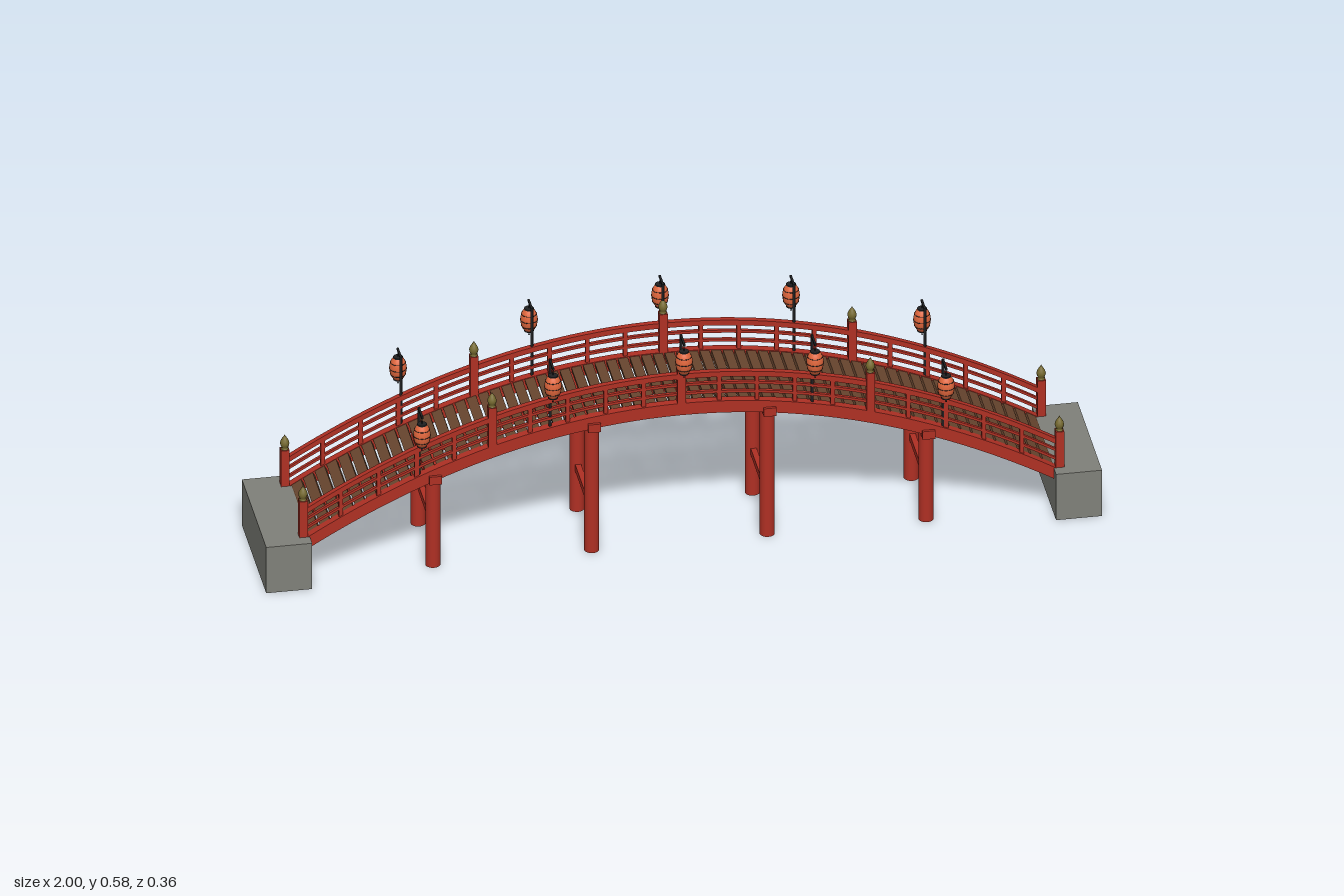
import * as THREE from 'three';

const mat = (color) => new THREE.MeshStandardMaterial({ color });
const red = mat(0xb03024), wood = mat(0x69462f), stone = mat(0x80817a);
const dark = mat(0x1f2022), paper = mat(0xe0663c), bronze = mat(0x75692f);

// Height of the walking surface along the bridge
const deckY = (x) => 0.394 - 0.338 * x * x;
const slope = (x) => Math.atan(-0.676 * x);

export function createModel() {
  const model = new THREE.Group();

  const add = (name, geometry, material, x = 0, y = 0, z = 0, parent = model) => {
    const mesh = new THREE.Mesh(geometry, material);
    mesh.name = name;
    mesh.position.set(x, y, z);
    parent.add(mesh);
    return mesh;
  };

  // Curved bar following the arch, between two heights relative to the deck
  const archBar = (name, low, high, width, z, half) => {
    const shape = new THREE.Shape();
    const n = 48;
    for (let i = 0; i <= n; i++) {
      const x = -half + (2 * half * i) / n;
      if (i === 0) shape.moveTo(x, deckY(x) + low);
      else shape.lineTo(x, deckY(x) + low);
    }
    for (let i = n; i >= 0; i--) {
      const x = -half + (2 * half * i) / n;
      shape.lineTo(x, deckY(x) + high);
    }
    shape.closePath();
    const geo = new THREE.ExtrudeGeometry(shape, { depth: width, bevelEnabled: false });
    geo.translate(0, 0, -width / 2);
    add(name, geo, red, 0, 0, z);
  };

  // Stone abutments
  for (const s of [-1, 1]) add('abutment', new THREE.BoxGeometry(0.11, 0.125, 0.32), stone, s * 0.945, 0.0625, 0);

  // Deck planks, tilted along the arch
  const planks = 64, pitch = 1.78 / planks;
  for (let i = 0; i < planks; i++) {
    const x = -0.89 + pitch * (i + 0.5);
    const length = (pitch - 0.005) / Math.cos(slope(x));
    const plank = add('plank', new THREE.BoxGeometry(length, 0.012, 0.222), wood, x, deckY(x) - 0.006, 0);
    plank.rotation.z = slope(x);
  }

  // Arched beams under the deck and along its sides
  archBar('centreBeam', -0.036, -0.011, 0.02, 0, 0.9);
  for (const s of [-1, 1]) {
    archBar('sideBeam', -0.03, 0.002, 0.02, s * 0.12, 0.9);
    archBar('handrail', 0.066, 0.08, 0.014, s * 0.12, 0.905);
    archBar('middleRail', 0.044, 0.051, 0.008, s * 0.12, 0.905);
    archBar('lowerRail', 0.02, 0.027, 0.008, s * 0.12, 0.905);
  }

  // Piers with cap beams and braces
  for (const x of [-0.59, -0.21, 0.21, 0.59]) {
    const top = deckY(x) - 0.025;
    for (const s of [-1, 1]) add('pier', new THREE.CylinderGeometry(0.018, 0.018, top, 16), red, x, top / 2, s * 0.097);
    add('pierCap', new THREE.BoxGeometry(0.03, 0.022, 0.274), red, x, deckY(x) - 0.026, 0);
    add('pierBrace', new THREE.BoxGeometry(0.014, 0.018, 0.194), red, x, 0.12, 0);
  }

  // Onion-shaped post finial
  const finialGeo = new THREE.LatheGeometry([
    [0, 0], [0.009, 0], [0.009, 0.003], [0.006, 0.005], [0.0095, 0.01], [0.0112, 0.017],
    [0.0095, 0.024], [0.0055, 0.031], [0.002, 0.036], [0, 0.041],
  ].map(([r, y]) => new THREE.Vector2(r, y)), 14);

  // Railing posts: every fifth is a tall newel
  for (const s of [-1, 1]) {
    for (let i = -10; i <= 10; i++) {
      const x = i * 0.0905, y = deckY(x), z = s * 0.12;
      if (i % 5 === 0) {
        add('newelPost', new THREE.BoxGeometry(0.02, 0.131, 0.02), red, x, y + 0.0395, z);
        add('finial', finialGeo, bronze, x, y + 0.104, z);
      } else {
        add('baluster', new THREE.BoxGeometry(0.01, 0.08, 0.01), red, x, y + 0.03, z);
      }
    }
  }

  // Lantern body: barrel profile, shared by all lamps
  const radiusAt = (y) => 0.0205 * Math.sqrt(1 - (y / 0.0335) ** 2);
  const profile = [];
  for (let i = 0; i <= 10; i++) {
    const y = -0.028 + 0.0056 * i;
    profile.push(new THREE.Vector2(radiusAt(y), y));
  }
  const bodyGeo = new THREE.LatheGeometry(profile, 18);
  const capGeo = new THREE.CylinderGeometry(0.0115, 0.0115, 0.004, 16);

  // Lamp poles with hanging lanterns
  for (const s of [-1, 1]) {
    for (let i = -2; i <= 2; i++) {
      const x = i * 0.3135;
      const lamp = new THREE.Group();
      lamp.name = 'lamp';
      lamp.position.set(x, deckY(x), s * 0.12);
      model.add(lamp);
      add('lampPole', new THREE.CylinderGeometry(0.0035, 0.0035, 0.184, 8), dark, 0, 0.092, 0, lamp);
      add('lampArm', new THREE.BoxGeometry(0.005, 0.005, 0.046), dark, 0, 0.1805, s * 0.02, lamp);

      const lantern = new THREE.Group();
      lantern.name = 'lantern';
      lantern.position.set(0, 0.131, s * 0.038);
      lamp.add(lantern);
      add('lanternBody', bodyGeo, paper, 0, 0, 0, lantern);
      add('topCap', capGeo, dark, 0, 0.029, 0, lantern);
      add('bottomCap', capGeo, dark, 0, -0.029, 0, lantern);
      add('hangingWire', new THREE.CylinderGeometry(0.001, 0.001, 0.02, 6), dark, 0, 0.04, 0, lantern);
      add('tasselCord', new THREE.CylinderGeometry(0.0008, 0.0008, 0.008, 6), dark, 0, -0.034, 0, lantern);
      add('tassel', new THREE.CylinderGeometry(0.001, 0.002, 0.005, 8), dark, 0, -0.039, 0, lantern);
      for (const y of [-0.016, 0, 0.016]) {
        const rib = add('lanternRib', new THREE.TorusGeometry(radiusAt(y), 0.0009, 5, 18), dark, 0, y, 0, lantern);
        rib.rotation.x = Math.PI / 2;
      }
    }
  }

  return model;
}
